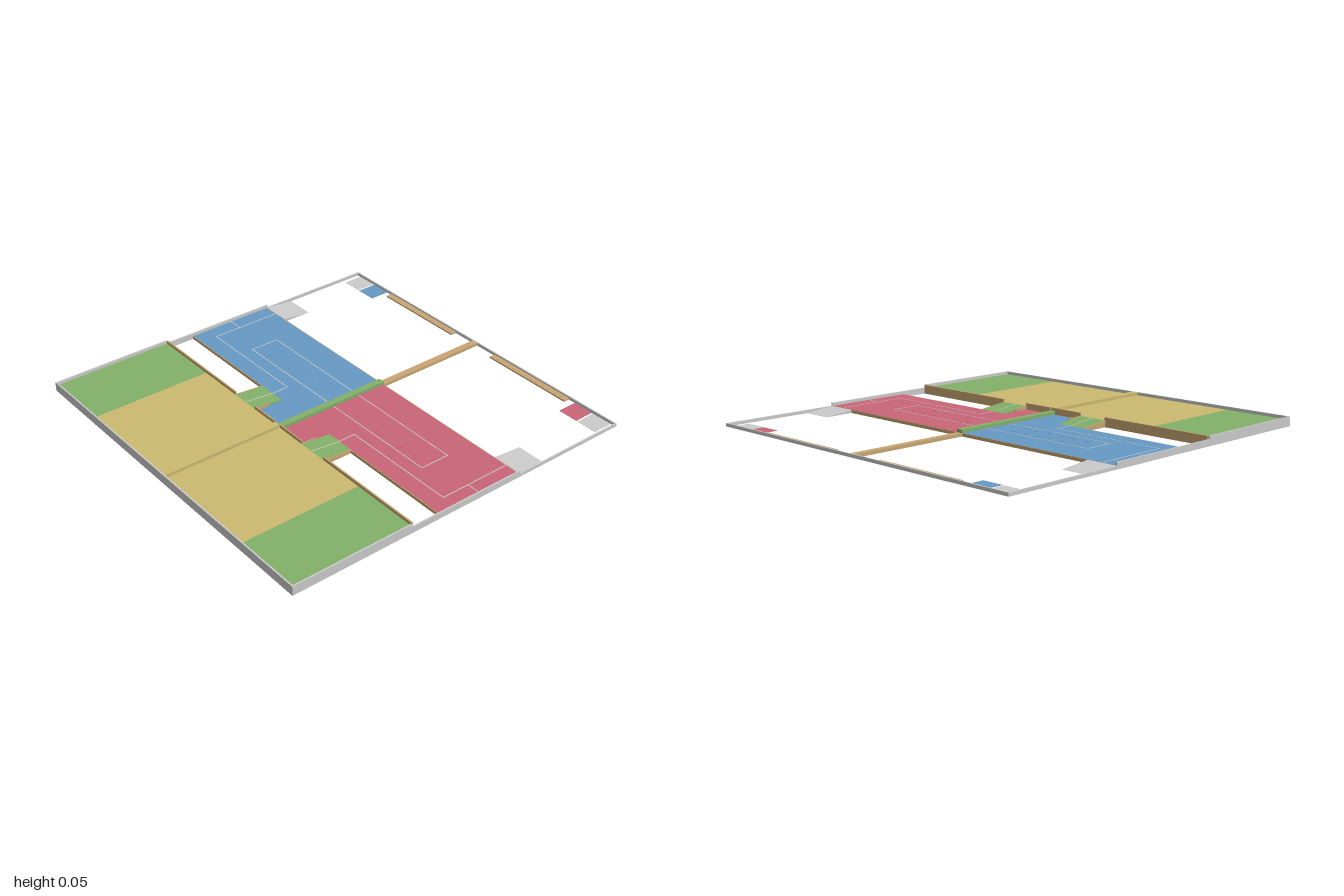
import * as THREE from 'three';

const GREY = 0xcccccc, WOOD = 0xc9a774, BLUE = 0x6699c4, RED = 0xc96678, GREEN = 0x82b068, SAND = 0xccba70;
const L1 = 0.0167, L2 = 0.0333, L3 = 0.05; // terrace steps
const T = 0.008; // fence thickness

export function createModel() {
  const root = new THREE.Group();
  const mats = {};
  const mat = (c) => (mats[c] ??= new THREE.MeshStandardMaterial({ color: c }));
  const add = (name, geo, color) => {
    const m = new THREE.Mesh(geo, mat(color));
    m.name = name;
    root.add(m);
    return m;
  };

  // Box given by its limits on each axis
  const box = (name, color, xa, xb, y0, y1, z0, z1) => {
    const g = new THREE.BoxGeometry(Math.abs(xb - xa), y1 - y0, z1 - z0);
    g.translate((xa + xb) / 2, (y0 + y1) / 2, (z0 + z1) / 2);
    return add(name, g, color);
  };

  // Sloped block: side profile in z and y, extruded along x
  const ramp = (name, color, xa, xb, z0, y0, z1, y1) => {
    const pts = [[z0, 0], [z1, 0], [z1, y1], [z0, y0]].map((p) => new THREE.Vector2(...p));
    const g = new THREE.ExtrudeGeometry(new THREE.Shape(pts), { depth: Math.abs(xb - xa), bevelEnabled: false });
    g.rotateY(-Math.PI / 2);
    g.translate(Math.max(xa, xb), 0, 0);
    return add(name, g, color);
  };

  const disc = (name, color, r, h, x, y, z) =>
    add(name, new THREE.CylinderGeometry(r, r, h, 16), color).position.set(x, y + h / 2, z);

  for (const s of [-1, 1]) {
    const team = s < 0 ? BLUE : RED;
    const E = 1 - T;

    // Upper terrace
    box('upperFloorSand', SAND, s * 0.018, s * 0.62, 0, L2, 0.333, 1 - T);
    box('upperFloorGreen', GREEN, s * 0.62, s * E, 0, L2, 0.333, 1 - T);

    // Middle terrace with its tongue towards the upper terrace
    box('middleFloor', team, s * 0.018, s * E, 0, L1, -0.329, 0.163);
    box('middleFloorTongue', team, s * 0.018, s * 0.19, 0, L1, 0.163, 0.325);
    box('middleBackEdge', WOOD, s * 0.018, s * E, 0, L1 - 0.0005, -0.333, -0.329);
    box('middleFrontEdge', WOOD, s * 0.36, s * E, 0, L1 - 0.0005, 0.163, 0.167);

    // Ramps between the terraces
    ramp('upperRamp', GREEN, s * 0.193, s * 0.357, 0.163, L1, 0.333, L2);
    ramp('lowerRamp', GREY, s * 0.83, s * E, -0.5, 0.0005, -0.333, L1);
    box('rampInnerRail', WOOD, s * 0.188, s * 0.193, 0, L2, 0.245, 0.329);
    ramp('rampOuterCheek', WOOD, s * 0.357, s * 0.362, 0.163, L1, 0.329, L2);

    // Wooden retaining wall of the upper terrace
    box('retainingWall', WOOD, s * 0.357, s * E, 0, L3, 0.325, 0.333);
    box('tongueWall', WOOD, s * 0.018, s * 0.193, 0, L3, 0.327, 0.333);

    // Stepped side fence
    box('sideFenceBack', GREY, s * E, s, 0, L1, -1, -0.333);
    box('sideFenceMiddle', GREY, s * E, s, 0, L2, -0.333, 0.333);
    box('sideFenceFront', GREY, s * E, s, 0, L3, 0.333, 1);

    // Start pads
    box('greyStartPad', GREY, s * 0.855, s * 0.97, 0, 0.001, -1 + T, -0.88);
    box('teamStartPad', team, s * 0.73, s * 0.845, 0, 0.001, -1 + T, -0.88);

    // Rack with twelve round seats
    box('rack', WOOD, s * 0.15, s * 0.69, 0, 0.008, -1 + T, -0.957);
    for (let i = 0; i < 12; i++) disc('rackSeat', WOOD, 0.009, 0.001, s * (0.19 + i * 0.0418), 0.008, -0.975);

    // Two rows of spots on the middle terrace
    for (const z of [-0.125, -0.045])
      for (let i = 0; i < 6; i++) disc('floorSpot', team, 0.006, 0.002, s * (0.16 + i * 0.083), L1, z);

    // White floor markings
    const line = (xa, xb, z0, z1) => {
      const w = 0.0025;
      box('floorLine', 0xe6e6e6, s * (xa - w), s * (xb + w), L1, L1 + 0.0006, z0 - w, z1 + w);
    };
    line(0.02, 0.68, -0.167, -0.167);
    line(0.02, 0.68, -0.005, -0.005);
    line(0.68, 0.68, -0.167, -0.005);
    line(0.91, 0.91, -0.326, 0.07);
    line(0.27, 0.91, 0.07, 0.07);
    line(0.27, 0.27, 0.07, 0.162);
    line(0.91, 0.988, -0.085, -0.085);
    const slope = box('rampLine', 0xe6e6e6, s * 0.2675, s * 0.2725, -0.0003, 0.0005, -0.083, 0.083);
    slope.position.set(0, (L1 + L2) / 2, 0.248);
    slope.rotation.x = -Math.atan2(L2 - L1, 0.17);
  }

  // End fences
  box('frontFence', GREY, -1 + T, 1 - T, 0, L3, 1 - T, 1);
  box('backFence', GREY, -1 + T, 1 - T, 0, L1, -1, -1 + T);

  // Centre divider, one step per terrace
  box('dividerBack', WOOD, -0.018, 0.018, 0, L1, -1 + T, -0.333);
  box('dividerMiddle', GREEN, -0.018, 0.018, 0, L2, -0.333, 0.333);
  box('dividerFront', SAND, -0.018, 0.018, 0, L3, 0.333, 1 - T);

  return root;
}
